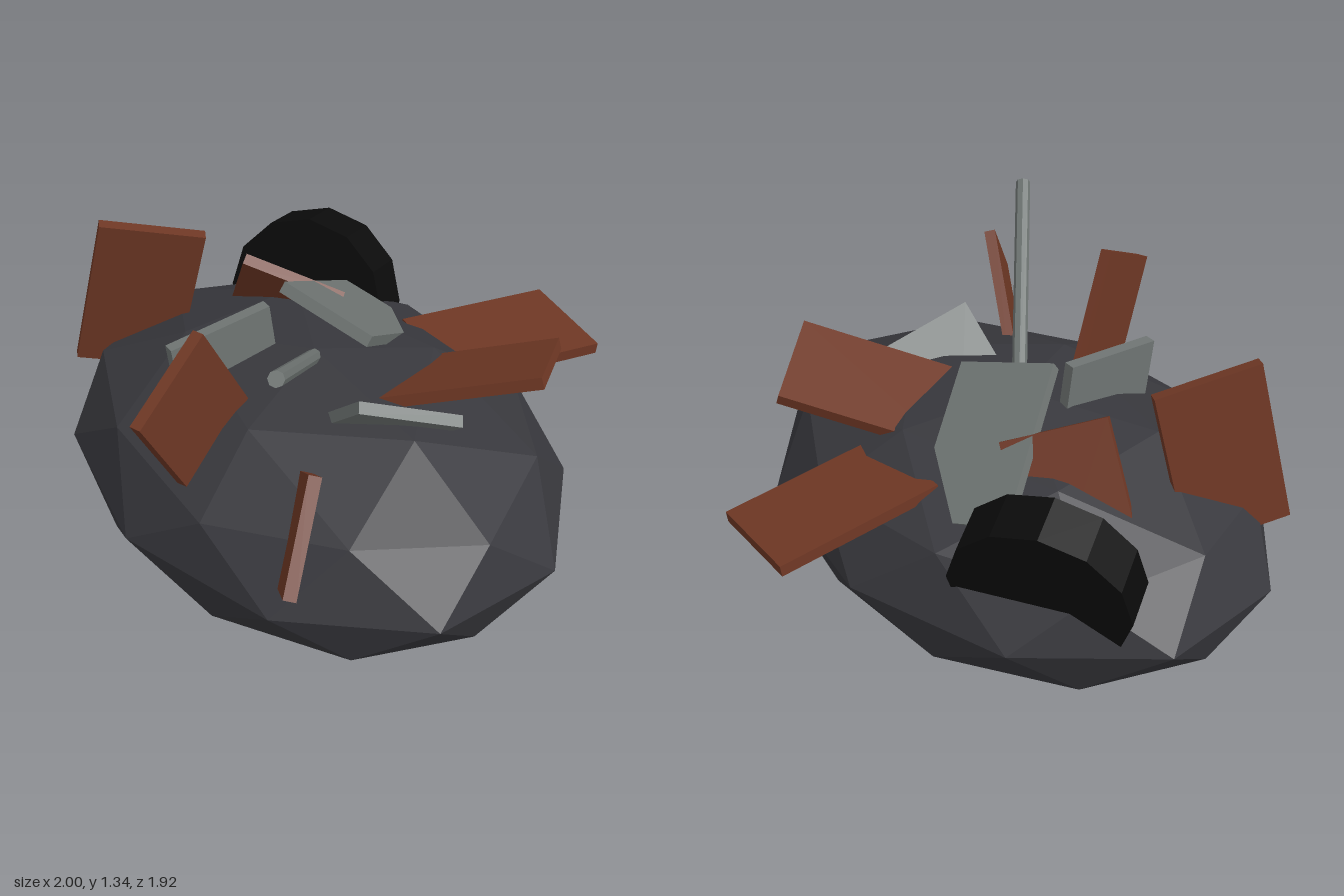
import * as THREE from 'three';

const V = (a) => new THREE.Vector3(...a);
const flat = (color, name) => {
  const m = new THREE.MeshStandardMaterial({ color, flatShading: true });
  m.name = name;
  return m;
};

// Flat board: a and b are the corners of its free end, dir runs along its length into the mound
function board(name, material, a, b, dir, length = 0.62, thickness = 0.042) {
  const A = V(a), B = V(b);
  const u = B.clone().sub(A);
  const width = u.length();
  u.normalize();
  const n = u.clone().cross(V(dir)).normalize();
  const w = n.clone().cross(u);
  const mesh = new THREE.Mesh(new THREE.BoxGeometry(width, length, thickness), material);
  mesh.name = name;
  mesh.quaternion.setFromRotationMatrix(new THREE.Matrix4().makeBasis(u, w, n));
  mesh.position.copy(A).add(B).multiplyScalar(0.5).addScaledVector(w, length / 2);
  return mesh;
}

// Cylinder centred at a point, with its axis along a direction
function rod(name, material, centre, axis, radius, length, sides) {
  const mesh = new THREE.Mesh(new THREE.CylinderGeometry(radius, radius, length, sides), material);
  mesh.name = name;
  mesh.quaternion.setFromUnitVectors(new THREE.Vector3(0, 1, 0), V(axis).normalize());
  mesh.position.set(...centre);
  return mesh;
}

export function createModel() {
  const group = new THREE.Group();
  group.name = 'scrapHeap';
  const ash = flat(0x38383d, 'darkAsh');
  const rust = flat(0x6e3724, 'rust');
  const steel = flat(0x6f7573, 'steel');
  const rubber = flat(0x0b0b0b, 'rubber');

  // Faceted mound, turned so that a vertex points straight up, then squashed
  const moundGeo = new THREE.IcosahedronGeometry(1, 1);
  moundGeo.rotateZ(-Math.atan(2 / (1 + Math.sqrt(5))));
  moundGeo.scale(1.0515, 0.45, 0.8);
  const mound = new THREE.Mesh(moundGeo, ash);
  mound.name = 'mound';
  mound.position.set(0, 0.45, 0.125);
  group.add(mound);

  // Rusty panels: free corner, free corner, direction into the mound
  const rustPanels = [
    ['backPanel', [-0.016, 0.70, -0.96], [0.364, 0.675, -0.905], [-0.08, 0.06, 0.6]],
    ['backLeftPanel', [0.735, 1.0, -0.262], [0.513, 0.92, -0.555], [-0.428, -0.17, 0.364]],
    ['frontLeftPanel', [0.72, 1.045, 0.65], [0.856, 0.75, 0.85], [-0.327, -0.266, -0.205]],
    ['frontPanel', [0.09, 1.225, 0.645], [0.188, 1.04, 0.955], [-0.08, -0.383, -0.24]],
    ['frontRightPanel', [-0.735, 1.2, 0.525], [-0.56, 1.12, 0.195], [-0.125, -0.61, 0.05]],
    ['rightPanel', [-0.455, 1.035, 0.1], [-0.19, 0.91, -0.145], [-0.185, -0.28, -0.07]],
  ];
  for (const [name, a, b, dir] of rustPanels) group.add(board(name, rust, a, b, dir));

  // Steel plates
  const steelPlates = [
    ['topPlate', [-0.166, 1.075, 0.14], [0.17, 0.975, 0.016], [-0.294, -0.285, -0.449]],
    ['frontPlate', [-0.155, 1.04, 0.215], [-0.185, 0.995, 0.6], [0.02, -1, -0.12]],
    ['leftPlate', [0.46, 0.985, 0.285], [0.585, 0.85, -0.055], [-0.19, -0.165, -0.01]],
  ];
  for (const [name, a, b, dir] of steelPlates) group.add(board(name, steel, a, b, dir));

  // Protruding pipe and half-buried tyre
  group.add(rod('pipe', steel, [0.25, 1.07, 0.37], [0.56, 0.45, 0.55], 0.027, 0.98, 8));
  group.add(rod('tyre', rubber, [-0.6, 0.66, -0.32], [0.45, 0.22, 0.87], 0.32, 0.18, 12));

  return group;
}
